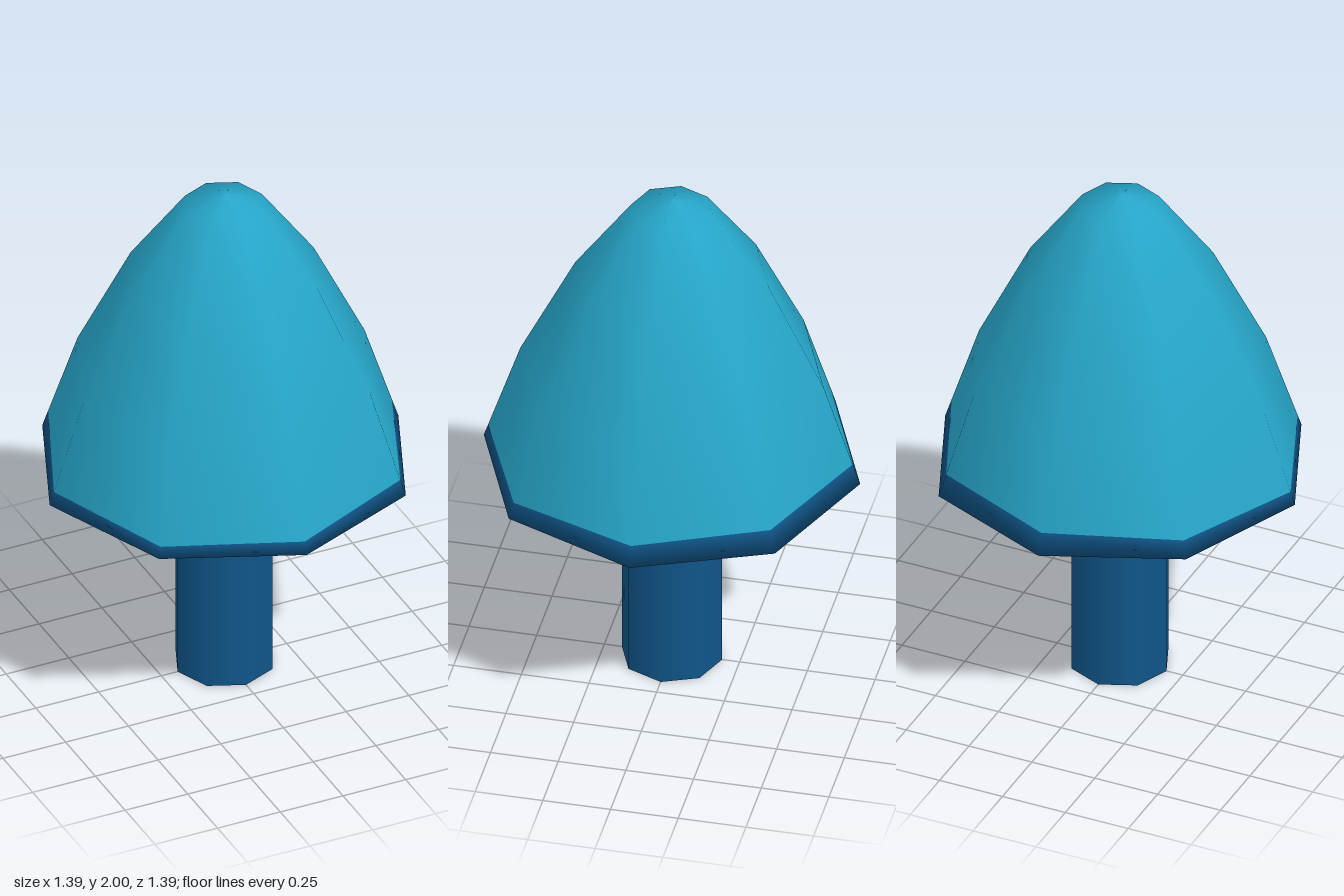
import * as THREE from 'three';

const SIDES = 8;
const RIM_Y = 0.855;
const RIM_R = 0.695;

export function createModel() {
  const teal = new THREE.MeshStandardMaterial({ color: 0x26a5c8 });
  teal.name = 'teal';
  const deepBlue = new THREE.MeshStandardMaterial({ color: 0x10568a });
  deepBlue.name = 'deepBlue';

  const group = new THREE.Group();
  group.name = 'tree';

  // trunk: plain eight-sided column
  const trunkGeometry = new THREE.CylinderGeometry(0.185, 0.185, RIM_Y, SIDES);
  trunkGeometry.translate(0, RIM_Y / 2, 0);
  const trunk = new THREE.Mesh(trunkGeometry, deepBlue);
  trunk.name = 'trunk';
  group.add(trunk);

  // crown: flat underside, hem ring, then the rounded cone
  const hemRing = 2;
  const profile = [
    [0, RIM_Y], [RIM_R, RIM_Y], [0.677, 0.91], [0.56, 1.26],
    [0.357, 1.67], [0.15, 1.957], [0, 2],
  ].map(([r, y]) => new THREE.Vector2(r, y));
  const crownGeometry = new THREE.LatheGeometry(profile, SIDES);

  // let the hem line rise gently toward the back left, staying on the crown's slope
  const pos = crownGeometry.attributes.position;
  for (let i = hemRing; i < pos.count; i += profile.length) {
    const y = 0.92 + 0.02 * pos.getX(i) - 0.025 * pos.getZ(i);
    const r = RIM_R - (y - RIM_Y) / 3;
    const scale = r / Math.hypot(pos.getX(i), pos.getZ(i));
    pos.setXYZ(i, pos.getX(i) * scale, y, pos.getZ(i) * scale);
  }

  // underside and hem are blue, everything above is teal
  const rows = profile.length - 1;
  for (let s = 0; s < SIDES; s++) {
    const start = s * rows * 6;
    crownGeometry.addGroup(start, hemRing * 6, 0);
    crownGeometry.addGroup(start + hemRing * 6, (rows - hemRing) * 6, 1);
  }
  const crown = new THREE.Mesh(crownGeometry, [deepBlue, teal]);
  crown.name = 'crown';
  group.add(crown);

  return group;
}
